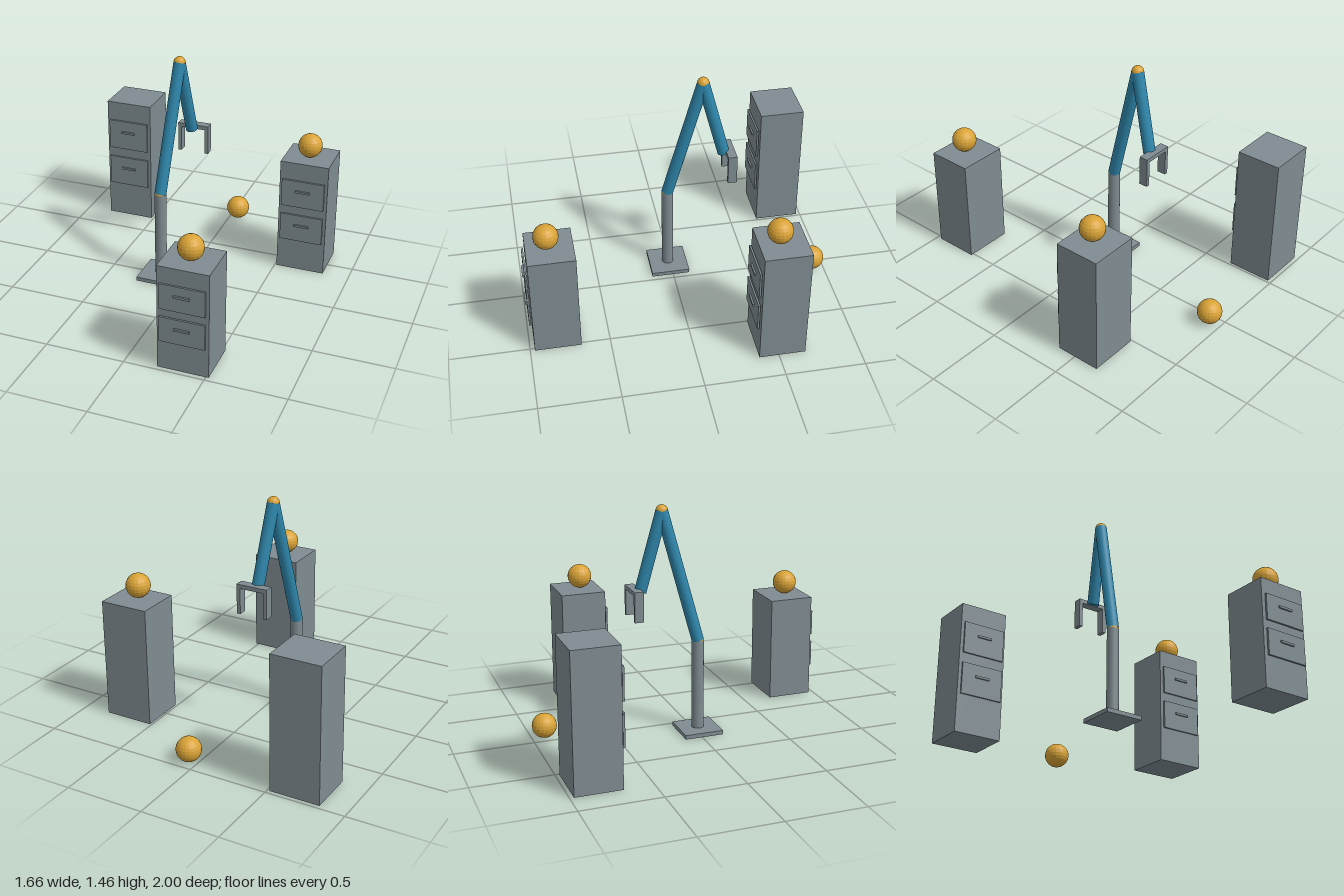
import * as THREE from 'three';

const steel = new THREE.MeshStandardMaterial({ name: 'greySteel', color: 0x7f8c91 });
const blue = new THREE.MeshStandardMaterial({ name: 'armBlue', color: 0x2e86ab });
const gold = new THREE.MeshStandardMaterial({ name: 'ballGold', color: 0xd9a336, flatShading: true });

const R = 0.038; // arm radius

function add(parent, name, geometry, material, x, y, z) {
  const mesh = new THREE.Mesh(geometry, material);
  mesh.name = name;
  mesh.position.set(x, y, z);
  parent.add(mesh);
  return mesh;
}

const box = (parent, name, w, h, d, x, y, z) =>
  add(parent, name, new THREE.BoxGeometry(w, h, d), steel, x, y, z);

const ball = (parent, name, r, x, y, z) =>
  add(parent, name, new THREE.SphereGeometry(r, 20, 12), gold, x, y, z);

// Cylinder running between two points
function rod(parent, name, a, b, material) {
  const dir = b.clone().sub(a);
  const mid = a.clone().add(b).multiplyScalar(0.5);
  const mesh = add(parent, name, new THREE.CylinderGeometry(R, R, dir.length(), 24), material, mid.x, mid.y, mid.z);
  mesh.quaternion.setFromUnitVectors(new THREE.Vector3(0, 1, 0), dir.normalize());
}

// Two-drawer cabinet; drawers scale with its height. z is the front face.
function cabinet(parent, name, x, z, h) {
  const g = new THREE.Group();
  g.name = name;
  g.position.set(x, 0, z);
  box(g, 'cabinetBody', 0.317, h, 0.29, 0, h / 2, -0.145);
  [['upper', 0.728], ['lower', 0.408]].forEach(([level, f]) => {
    box(g, level + 'DrawerFront', 0.28, 0.242 * h, 0.012, 0, f * h, 0.013);
    box(g, level + 'DrawerHandle', 0.096, 0.014, 0.011, 0, (f + 0.026) * h, 0.0245);
  });
  parent.add(g);
}

export function createModel() {
  const model = new THREE.Group();
  model.name = 'robotArmStation';

  // Cabinets and balls
  cabinet(model, 'frontCabinet', 0.36, 0.971, 0.68);
  cabinet(model, 'leftCabinet', 0.671, -0.377, 0.769);
  cabinet(model, 'backCabinet', -0.674, -0.685, 0.86);
  ball(model, 'frontCabinetBall', 0.078, 0.36, 0.76, 0.842);
  ball(model, 'leftCabinetBall', 0.078, 0.67, 0.85, -0.505);
  ball(model, 'floorBall', 0.078, 0.058, 0.082, -0.921);

  // Arm: base, post, two links and their joints
  const arm = new THREE.Group();
  arm.name = 'robotArm';
  model.add(arm);
  const foot = new THREE.Vector3(-0.158, 0.025, 0.016);
  const shoulder = new THREE.Vector3(-0.158, 0.6, 0.016);
  const elbow = new THREE.Vector3(-0.109, 1.42, -0.198);
  const wrist = new THREE.Vector3(-0.075, 0.922, -0.327);
  box(arm, 'basePlate', 0.248, 0.026, 0.248, foot.x, 0.013, foot.z);
  rod(arm, 'post', foot, shoulder, steel);
  rod(arm, 'upperArm', shoulder, elbow, blue);
  rod(arm, 'forearm', elbow, wrist, blue);
  ball(arm, 'shoulderJoint', R, ...shoulder.toArray());
  ball(arm, 'elbowJoint', R, ...elbow.toArray());

  // Gripper with two fingers
  const gripper = new THREE.Group();
  gripper.name = 'gripper';
  gripper.position.set(-0.07, 0, -0.365);
  arm.add(gripper);
  box(gripper, 'gripperBar', 0.205, 0.026, 0.057, 0, 0.933, 0);
  for (const s of [-1, 1]) {
    box(gripper, s > 0 ? 'leftFinger' : 'rightFinger', 0.024, 0.165, 0.057, s * 0.0905, 0.8375, 0);
  }
  return model;
}
